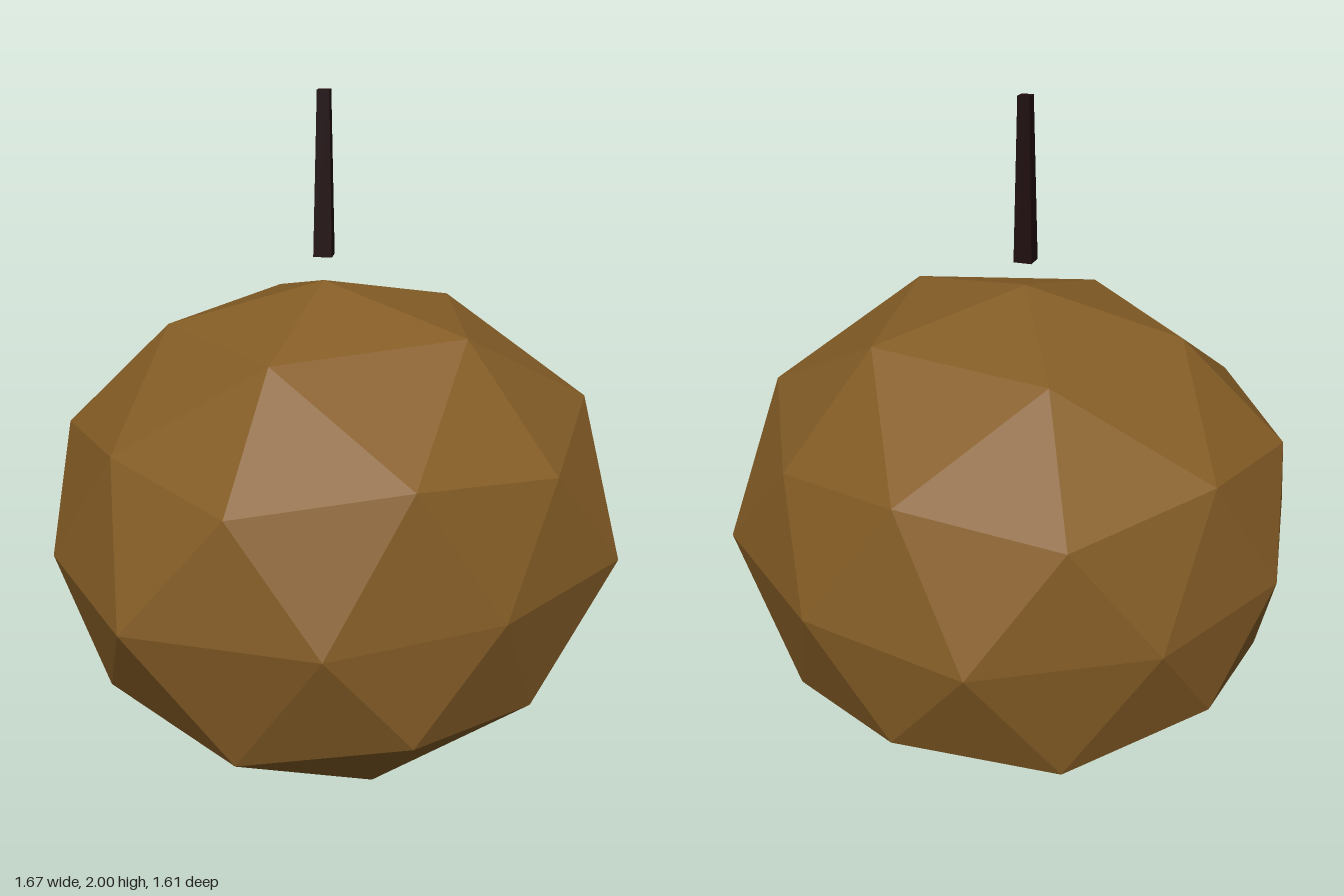
import * as THREE from 'three';

const CENTRE_Y = 0.74;
const SQUASH = 0.85;

// Rings of a once-divided icosphere: unit height, first angle in degrees, bumpy radius of each point
const RINGS = {
  top: { y: 1, start: 0, radii: [0.87] },
  capTop: { y: 0.8507, start: 0, radii: [0.875, 0.896, 0.855, 0.845, 0.86] },
  upperMid: { y: 0.5257, start: 36, radii: [0.89, 0.86, 0.812, 0.835, 0.823] },
  upper: { y: 0.4472, start: 0, radii: [0.816, 0.848, 0.865, 0.832, 0.863] },
  equator: { y: 0, start: 18, radii: [0.876, 0.874, 0.80, 0.838, 0.876, 0.806, 0.794, 0.81, 0.844, 0.816] },
  lower: { y: -0.4472, start: 36, radii: [0.88, 0.85, 0.816, 0.825, 0.847] },
  lowerMid: { y: -0.5257, start: 0, radii: [0.86, 0.845, 0.87, 0.84, 0.857] },
  capBottom: { y: -0.8507, start: 36, radii: [0.833, 0.863, 0.847, 0.817, 0.83] },
  bottom: { y: -1, start: 0, radii: [0.87] },
};

function point(ringName, i) {
  const { y, start, radii } = RINGS[ringName];
  const n = radii.length;
  const k = ((i % n) + n) % n;
  const angle = THREE.MathUtils.degToRad(start + (k * 360) / n);
  const r = radii[k];
  const h = r * Math.sqrt(1 - y * y);
  return [h * Math.cos(angle), CENTRE_Y + SQUASH * r * y, h * Math.sin(angle)];
}

function bodyGeometry() {
  const positions = [];
  const tri = (a, b, c) => positions.push(...a, ...b, ...c);
  // One large face split in four: corners a, b, c and edge points ab, bc, ca
  const face = (a, b, c, ab, bc, ca) => {
    tri(a, ab, ca);
    tri(ab, b, bc);
    tri(ca, bc, c);
    tri(ab, bc, ca);
  };

  for (let i = 0; i < 5; i++) {
    const p = point;
    // Cap faces
    face(p('top', 0), p('upper', i + 1), p('upper', i),
      p('capTop', i + 1), p('upperMid', i), p('capTop', i));
    face(p('bottom', 0), p('lower', i), p('lower', i + 1),
      p('capBottom', i), p('lowerMid', i + 1), p('capBottom', i + 1));
    // Middle band
    face(p('upper', i), p('upper', i + 1), p('lower', i),
      p('upperMid', i), p('equator', 2 * i + 1), p('equator', 2 * i));
    face(p('upper', i + 1), p('lower', i + 1), p('lower', i),
      p('equator', 2 * i + 2), p('lowerMid', i + 1), p('equator', 2 * i + 1));
  }

  const geometry = new THREE.BufferGeometry();
  geometry.setAttribute('position', new THREE.Float32BufferAttribute(positions, 3));
  geometry.computeVertexNormals();
  return geometry;
}

export function createModel() {
  const model = new THREE.Group();
  const brown = new THREE.MeshStandardMaterial({ color: 0x855d26, flatShading: true });
  brown.name = 'golden brown';
  const dark = new THREE.MeshStandardMaterial({ color: 0x1f0d0f, flatShading: true });
  dark.name = 'dark bark';

  // Lumpy faceted body
  const geometry = bodyGeometry();
  // Turn every face outward
  const pos = geometry.attributes.position;
  const [a, b, c] = [0, 1, 2].map((i) => new THREE.Vector3().fromBufferAttribute(pos, i));
  const normal = b.clone().sub(a).cross(c.clone().sub(a));
  if (normal.dot(a.clone().setY(a.y - CENTRE_Y)) < 0) {
    geometry.setIndex([...Array(pos.count).keys()].map((i) => (i % 3 === 0 ? i : i % 3 === 1 ? i + 1 : i - 1)));
    geometry.computeVertexNormals();
  }
  const body = new THREE.Mesh(geometry, brown);
  body.name = 'body';
  model.add(body);

  // Tapered stem floating just above the body
  const stem = new THREE.Mesh(new THREE.CylinderGeometry(0.024, 0.037, 0.45, 4), dark);
  stem.name = 'stem';
  stem.position.y = 1.775;
  model.add(stem);

  return model;
}
